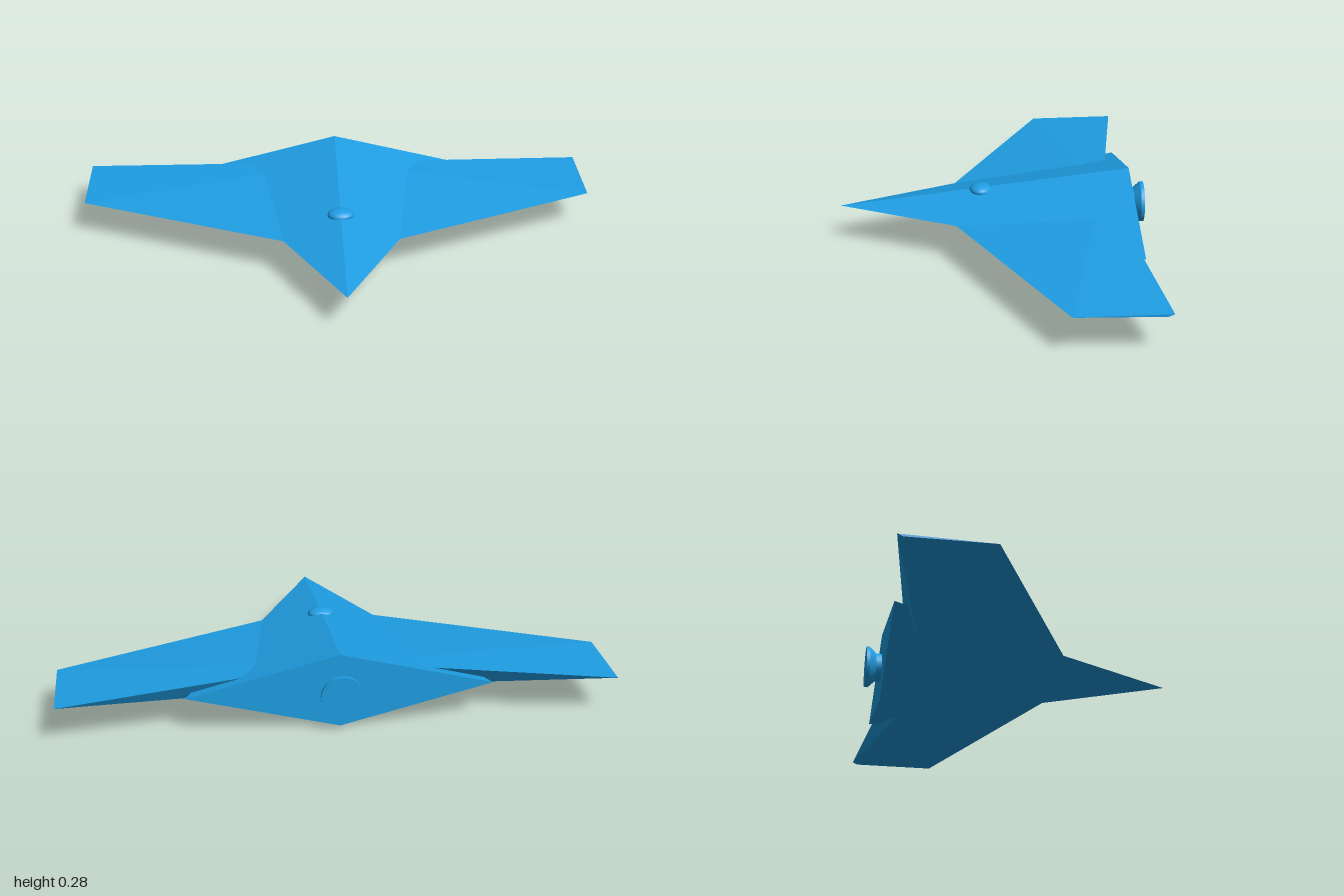
import * as THREE from 'three';
import { ConvexGeometry } from 'three/addons/geometries/ConvexGeometry.js';

const MID = 0.138; // height of the centre plane

export function createModel() {
  const group = new THREE.Group();
  const flat = new THREE.MeshStandardMaterial({ color: 0x1f9ee4, flatShading: true });
  const smooth = new THREE.MeshStandardMaterial({ color: 0x1f9ee4 });

  const add = (name, geometry, material) => {
    const mesh = new THREE.Mesh(geometry, material);
    mesh.name = name;
    group.add(mesh);
    return mesh;
  };
  const hull = (points) =>
    new ConvexGeometry(points.map(([x, y, z]) => new THREE.Vector3(x, MID + y, z)));

  // Fuselage: a long pyramid on a diamond-shaped tail
  add('fuselage', hull([
    [0, 0, 0.578],
    [0.55, 0, -0.525], [-0.55, 0, -0.525],
    [0, 0.138, -0.525], [0, -0.138, -0.525],
  ]), flat);

  // Wings: sharp leading edge, blunt slanted trailing face, thinning to the tip
  for (const [name, s] of [['leftWing', 1], ['rightWing', -1]]) {
    add(name, hull([
      [0, 0, 0.24], [0, 0.065, -0.427], [0, -0.065, -0.35],
      [s, 0, -0.225], [s, 0.007, -0.56], [s, -0.002, -0.54],
    ]), flat);
  }

  // Canopy: flattened dome on the nose ridge
  const canopy = add('canopy', new THREE.SphereGeometry(1, 24, 16), smooth);
  canopy.scale.set(0.05, 0.022, 0.042);
  canopy.position.set(0, 0.198, 0.042);

  // Engine nozzle: throat, flare and rim, closed at the back
  const sections = [
    [0.053, 0.053, 0.51, 0.545, 'nozzleThroat'],
    [0.053, 0.077, 0.545, 0.57, 'nozzleFlare'],
    [0.077, 0.077, 0.57, 0.583, 'nozzleRim'],
  ];
  for (const [front, back, z0, z1, name] of sections) {
    const geometry = new THREE.CylinderGeometry(front, back, z1 - z0, 32);
    geometry.rotateX(Math.PI / 2);
    add(name, geometry, smooth).position.set(0, MID, -(z0 + z1) / 2);
  }
  // the cylinders' wide ends face the rear
  group.children.filter((m) => m.name.startsWith('nozzle')).forEach((m) => { m.rotation.y = Math.PI; });
  group.children.find((m) => m.name === 'nozzleFlare').rotation.y = 0;

  return group;
}
